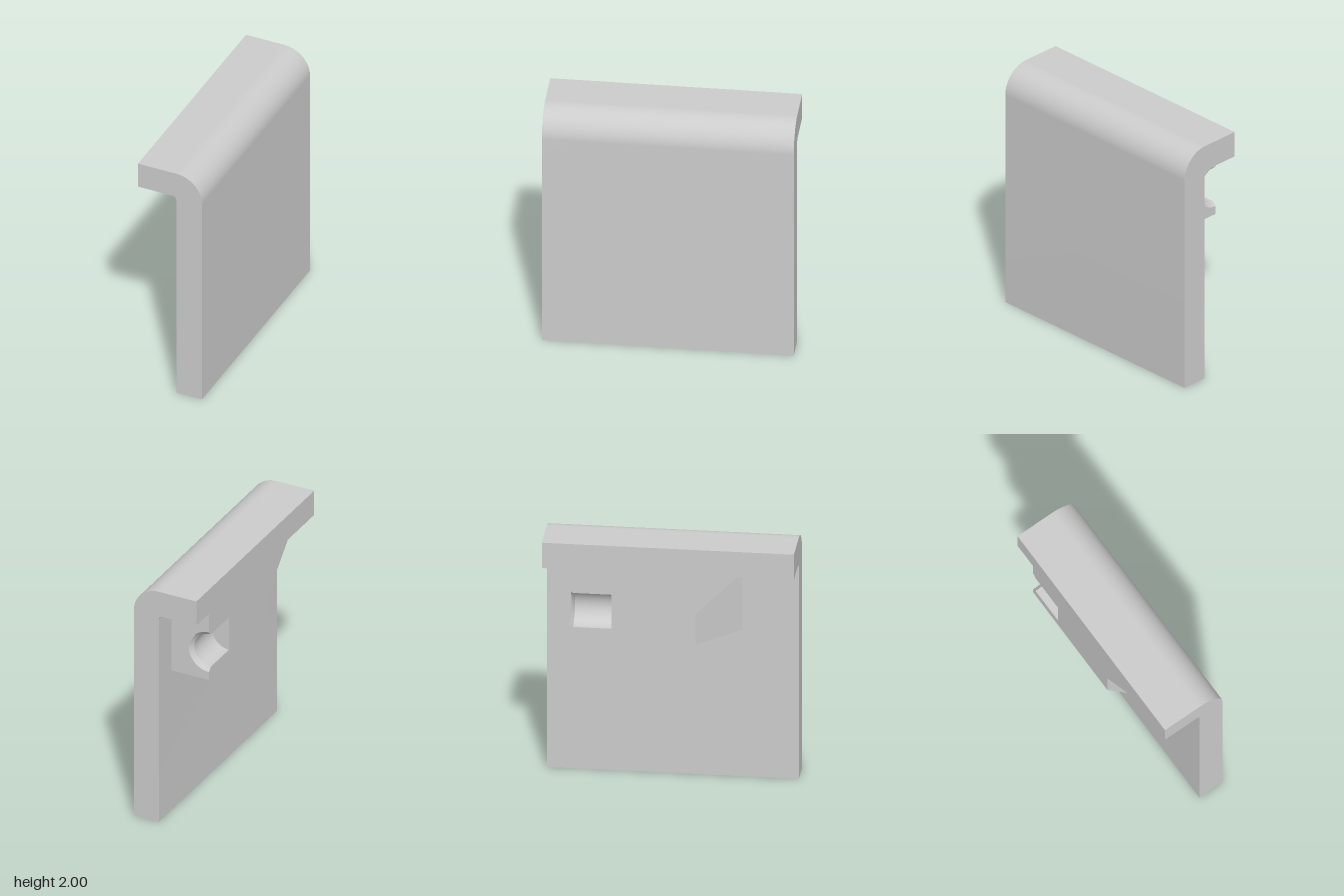
import * as THREE from 'three';
import { toCreasedNormals } from 'three/addons/utils/BufferGeometryUtils.js';

const material = new THREE.MeshStandardMaterial({ color: 0xcccccc });

// main dimensions
const OUT = -0.27, WALL = 0.05, BACK = 0.265;    // x: lip edge, plate inside, plate outside
const UNDER = 1.79, BLOCK_Y = 1.215;             // y: lip underside, block underside
const HALF = 0.96;                               // half the width along z
const Z0 = -0.755, Z1 = -0.43, Z2 = 0.21;        // z: block end, bore floor, start of flare
const BORE_Y = 1.455, BORE_R = 0.141, CHAMFER = 0.031;

function extrude(shape, depth, steps = 1) {
  return new THREE.ExtrudeGeometry(shape, { depth, steps, bevelEnabled: false, curveSegments: 32 });
}

function polygon(points) {
  return new THREE.Shape(points.map(([x, y]) => new THREE.Vector2(x, y)));
}

function part(name, geometry) {
  const mesh = new THREE.Mesh(toCreasedNormals(geometry, 0.5), material);
  mesh.name = name;
  return mesh;
}

// upright plate bent over into a lip
function bentPlate() {
  const r = BACK - WALL, f = 0.03;
  const s = new THREE.Shape();
  s.moveTo(WALL, 0);
  s.lineTo(BACK, 0);
  s.lineTo(BACK, 2 - r);
  s.absarc(BACK - r, 2 - r, r, 0, Math.PI / 2, false);
  s.lineTo(OUT, 2);
  s.lineTo(OUT, UNDER);
  s.lineTo(WALL - f, UNDER);
  s.absarc(WALL - f, UNDER - f, f, Math.PI / 2, 0, true);
  s.closePath();
  return extrude(s, HALF * 2).translate(0, 0, -HALF);
}

// end of the block with a half-open, chamfered bore
function boreSocket() {
  const s = new THREE.Shape();
  s.moveTo(WALL, BLOCK_Y);
  s.lineTo(WALL, UNDER);
  s.lineTo(OUT, UNDER);
  s.lineTo(OUT, BORE_Y + BORE_R);
  s.absarc(OUT, BORE_Y, BORE_R, Math.PI / 2, -Math.PI / 2, true);
  s.lineTo(OUT, BLOCK_Y);
  s.closePath();
  const depth = Z1 - Z0;
  const g = extrude(s, depth, 2);
  const p = g.attributes.position;
  for (let i = 0; i < p.count; i++) {
    const dx = p.getX(i) - OUT, dy = p.getY(i) - BORE_Y, z = p.getZ(i);
    if (Math.abs(z - depth / 2) < 1e-4) p.setZ(i, CHAMFER);
    // widen the mouth of the bore
    if (z < 1e-4 && Math.abs(Math.hypot(dx, dy) - BORE_R) < 1e-4) {
      const k = (BORE_R + CHAMFER) / BORE_R;
      p.setXY(i, OUT + dx * k, BORE_Y + dy * k);
    }
  }
  return g.translate(0, 0, Z0);
}

// solid block, flaring at 45 degrees into the plate
function blockBody() {
  const flare = WALL - OUT;
  const s = polygon([[OUT, -Z1], [OUT, -Z2], [WALL, -Z2 - flare], [WALL, -Z1]]);
  return extrude(s, UNDER - BLOCK_Y).rotateX(-Math.PI / 2).translate(0, BLOCK_Y, 0);
}

// wedge flaring at 45 degrees into the lip
function lipBrace() {
  const flare = WALL - OUT;
  const s = polygon([[Z2, UNDER - flare], [Z2 + flare, UNDER], [Z2, UNDER]]);
  return extrude(s, flare).rotateY(-Math.PI / 2).translate(WALL, 0, 0);
}

export function createModel() {
  const model = new THREE.Group();
  model.name = 'hookedPlate';
  const block = new THREE.Group();
  block.name = 'mountingBlock';
  block.add(
    part('boreSocket', boreSocket()),
    part('blockBody', blockBody()),
    part('lipBrace', lipBrace()),
  );
  model.add(part('bentPlate', bentPlate()), block);
  return model;
}
